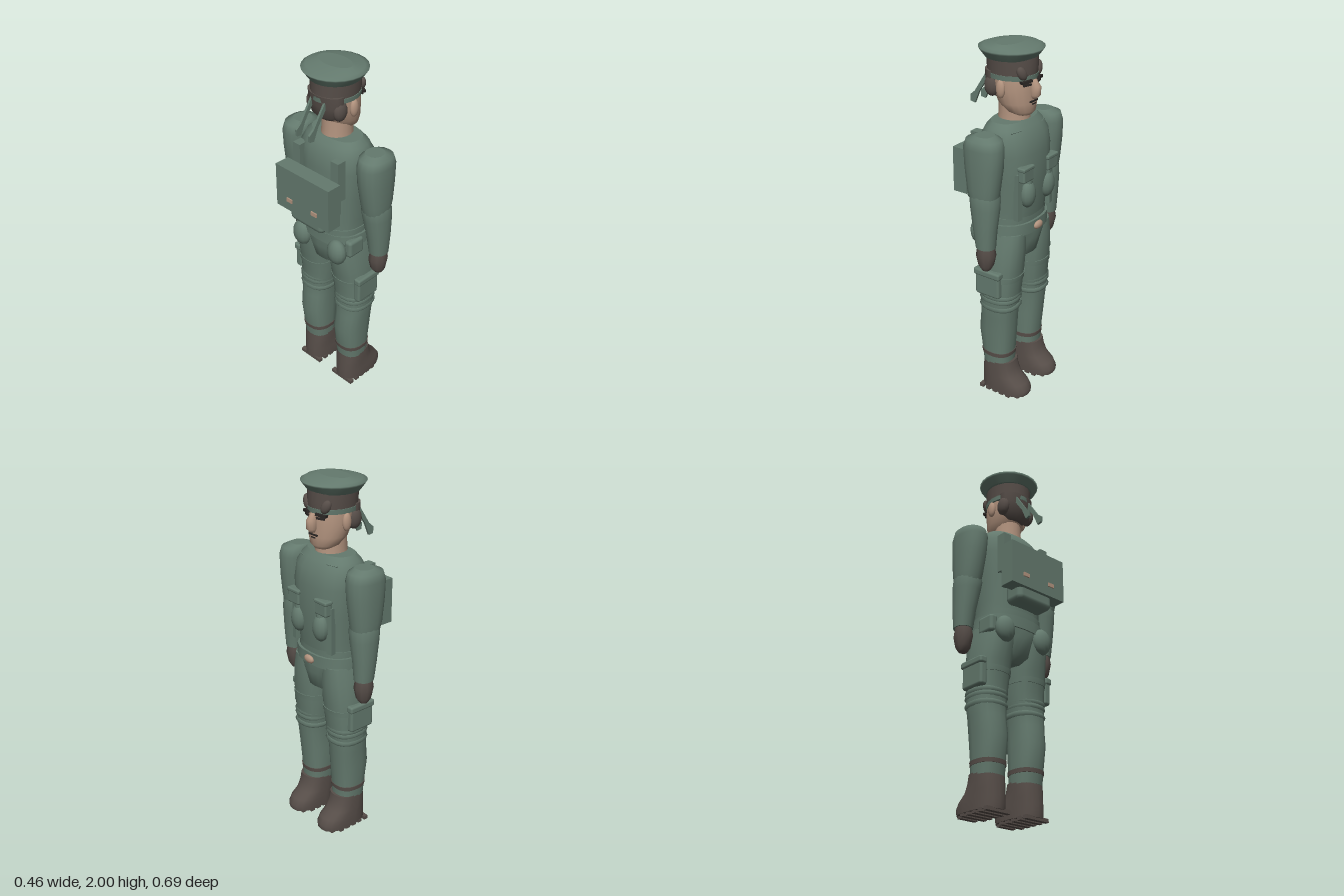
import * as THREE from 'three';
import { RoundedBoxGeometry } from 'three/addons/geometries/RoundedBoxGeometry.js';

const mat = (name, color) => new THREE.MeshStandardMaterial({ name, color });

// Closed body from rings [y, cx, cz, rx, rz]; power > 2 squares the section off.
function loft(rings, sides = 18, power = 2) {
  const pos = [], idx = [];
  const addRing = ([y, cx, cz, rx, rz]) => {
    const start = pos.length / 3;
    for (let i = 0; i < sides; i++) {
      const a = (i / sides) * Math.PI * 2, s = Math.sin(a), c = Math.cos(a);
      const f = (v) => Math.sign(v) * Math.abs(v) ** (2 / power);
      pos.push(cx + rx * f(s), y, cz + rz * f(c));
    }
    return start;
  };
  const starts = rings.map(addRing);
  for (let r = 0; r < rings.length - 1; r++) {
    for (let i = 0; i < sides; i++) {
      const j = (i + 1) % sides, a = starts[r], b = starts[r + 1];
      idx.push(a + i, a + j, b + j, a + i, b + j, b + i);
    }
  }
  // Flat caps with their own vertices keep the rims crisp
  [[rings[0], true], [rings[rings.length - 1], false]].forEach(([ring, down]) => {
    const s = addRing(ring), c = pos.length / 3;
    pos.push(ring[1], ring[0], ring[2]);
    for (let i = 0; i < sides; i++) {
      const j = (i + 1) % sides;
      if (down) idx.push(c, s + j, s + i);
      else idx.push(c, s + i, s + j);
    }
  });
  const g = new THREE.BufferGeometry();
  g.setAttribute('position', new THREE.Float32BufferAttribute(pos, 3));
  g.setIndex(idx);
  g.computeVertexNormals();
  return g;
}

const ball = (rx, ry, rz) => new THREE.SphereGeometry(1, 14, 10).scale(rx, ry, rz);
const box = (w, h, d, r = 0) => r ? new RoundedBoxGeometry(w, h, d, 2, r) : new THREE.BoxGeometry(w, h, d);

export function createModel() {
  const green = mat('uniform green', 0x647a6e);
  const brown = mat('leather brown', 0x574e49);
  const skin = mat('skin', 0xb3947f);
  const dark = mat('dark line', 0x2b2725);

  const model = new THREE.Group();
  model.name = 'soldier';
  // The figure is built facing local +z, then turned to face +x
  const body = new THREE.Group();
  body.name = 'figure';
  body.rotation.y = Math.PI / 2;
  model.add(body);

  const add = (name, geo, m, x = 0, y = 0, z = 0, rx = 0, ry = 0, rz = 0) => {
    const o = new THREE.Mesh(geo, m);
    o.name = name;
    o.position.set(x, y, z);
    o.rotation.set(rx, ry, rz);
    body.add(o);
    return o;
  };

  // Head and face
  add('neck', loft([[1.57, 0, 0.03, 0.085, 0.09], [1.64, 0, 0.03, 0.079, 0.083], [1.74, 0, 0.03, 0.08, 0.08]]), skin);
  add('head', loft([
    [1.635, 0, 0.085, 0.05, 0.045], [1.655, 0, 0.07, 0.08, 0.076], [1.70, 0, 0.05, 0.103, 0.1],
    [1.77, 0, 0.035, 0.115, 0.115], [1.84, 0, 0.03, 0.115, 0.118], [1.92, 0, 0.02, 0.105, 0.11]], 20), skin);
  add('nose', loft([[1.725, 0, 0.15, 0.012, 0.016], [1.745, 0, 0.158, 0.026, 0.03],
    [1.79, 0, 0.158, 0.025, 0.031], [1.825, 0, 0.148, 0.013, 0.014]], 12), skin);
  add('mouth', box(0.065, 0.008, 0.008), dark, 0, 1.712, 0.15);
  add('lowerLip', box(0.03, 0.006, 0.008), dark, 0, 1.697, 0.148);

  // Hair, headband and cap
  add('hair', loft([[1.835, 0, 0.018, 0.119, 0.134], [1.88, 0, 0.02, 0.122, 0.136], [1.94, 0, 0.018, 0.125, 0.135]], 20), brown);
  add('backHair', loft([[1.71, 0, -0.04, 0.05, 0.03], [1.74, 0, -0.045, 0.095, 0.055],
    [1.80, 0, -0.045, 0.112, 0.068], [1.86, 0, -0.045, 0.112, 0.074]], 16), brown);
  add('headband', loft([[1.825, 0, 0.019, 0.122, 0.136], [1.85, 0, 0.019, 0.124, 0.138]], 20), green);
  add('cap', loft([[1.925, 0, 0.012, 0.135, 0.135], [1.963, 0, 0.013, 0.165, 0.163], [1.974, 0, 0.013, 0.17, 0.17],
    [1.985, 0, 0.013, 0.153, 0.14], [2.0, 0, 0.014, 0.105, 0.06]], 24), green);

  const tie = new THREE.Shape([[-0.1, 1.845], [-0.185, 1.715], [-0.215, 1.69], [-0.213, 1.655], [-0.185, 1.65],
    [-0.155, 1.72], [-0.1, 1.80]].map(([z, y]) => new THREE.Vector2(-z, y)));
  const tieGeo = new THREE.ExtrudeGeometry(tie, { depth: 0.012, bevelEnabled: false });

  // Torso
  add('torso', loft([
    [1.05, 0, 0.025, 0.182, 0.142], [1.15, 0, 0.03, 0.182, 0.15], [1.3, 0, 0.035, 0.195, 0.16],
    [1.45, 0, 0.035, 0.207, 0.157], [1.53, 0, 0.032, 0.205, 0.143], [1.58, 0, 0.03, 0.18, 0.115],
    [1.61, 0, 0.03, 0.15, 0.09]], 24, 2.4), green);
  add('jacketHem', loft([[1.055, 0, 0.025, 0.187, 0.147], [1.1, 0, 0.025, 0.187, 0.148]], 24, 2.4), green);
  add('belt', loft([[1.0, 0, 0.03, 0.201, 0.155], [1.065, 0, 0.03, 0.198, 0.155]], 24, 2.4), green);
  add('buckle', ball(0.037, 0.023, 0.016), skin, 0, 1.03, 0.187);
  add('pelvis', loft([[0.825, 0, 0.03, 0.075, 0.075], [0.86, 0, 0.03, 0.1, 0.125], [0.95, 0, 0.03, 0.125, 0.147],
    [1.01, 0, 0.03, 0.18, 0.148]], 20, 2.5), green);

  // Backpack
  add('backpack', box(0.38, 0.25, 0.085), green, 0, 1.315, -0.186);
  add('backpackBase', box(0.24, 0.12, 0.12, 0.03), green, 0, 1.18, -0.15);
  add('backpackFrame', box(0.3, 0.16, 0.06), green, 0, 1.3, -0.125);

  // Sole outline shared by both boots
  const treads = [-0.05, -0.005, 0.04, 0.085, 0.13, 0.175];

  for (const s of [-1, 1]) {
    const side = s < 0 ? 'right' : 'left';
    const put = (name, geo, m, x, y, z, rx = 0, ry = 0, rz = 0) => add(side + name, geo, m, s * x, y, z, rx, s * ry, s * rz);
    const put2 = (name, rings, m, n, p) => add(side + name, loft(rings.map(([y, x, ...r]) => [y, s * x, ...r]), n, p), m);

    // Face side details
    put('Ear', ball(0.018, 0.048, 0.026), skin, 0.117, 1.78, 0.028);
    put('Eye', box(0.05, 0.01, 0.008), dark, 0.05, 1.803, 0.143, 0, 0.3);
    put('Brow', box(0.06, 0.014, 0.028), dark, 0.055, 1.822, 0.14, 0, 0.35, -0.12);
    put('HairLock', ball(0.03, 0.055, 0.042), brown, 0.092, 1.78, -0.045);
    put('FringeLock', ball(0.025, 0.038, 0.018), brown, 0.075, 1.865, 0.128, 0, 0.5, -0.5);
    put('HeadbandTie', tieGeo, green, 0.045, 0, 0, 0, 0).rotation.y = Math.PI / 2;
    body.children[body.children.length - 1].rotation.y = 0;
    // Turn the extruded outline so that its long axis runs backwards
    body.children[body.children.length - 1].rotation.y = Math.PI / 2;
    body.children[body.children.length - 1].position.x = s * 0.045 - 0.006;

    // Arm
    put2('UpperArm', [
      [1.23, 0.275, 0.04, 0.062, 0.075], [1.3, 0.275, 0.037, 0.07, 0.09], [1.42, 0.27, 0.035, 0.077, 0.106],
      [1.52, 0.268, 0.034, 0.08, 0.111], [1.565, 0.266, 0.034, 0.075, 0.095], [1.583, 0.258, 0.034, 0.048, 0.05]], green, 18, 2.3);
    put2('Forearm', [
      [0.975, 0.286, 0.054, 0.05, 0.053], [1.08, 0.285, 0.05, 0.058, 0.065], [1.2, 0.276, 0.045, 0.07, 0.08],
      [1.25, 0.272, 0.042, 0.074, 0.082], [1.28, 0.272, 0.042, 0.066, 0.076]], green, 16, 2.2);
    put2('Hand', [
      [0.842, 0.285, 0.055, 0.025, 0.022], [0.87, 0.285, 0.053, 0.041, 0.042], [0.93, 0.285, 0.053, 0.052, 0.055],
      [0.975, 0.285, 0.053, 0.046, 0.046], [1.0, 0.285, 0.053, 0.04, 0.04]], brown, 10);

    // Leg
    put2('Leg', [
      [0.19, 0.13, 0.025, 0.08, 0.085], [0.28, 0.13, 0.022, 0.084, 0.092], [0.4, 0.132, 0.02, 0.088, 0.105],
      [0.5, 0.135, 0.03, 0.09, 0.102], [0.58, 0.135, 0.036, 0.098, 0.104], [0.68, 0.128, 0.038, 0.103, 0.11],
      [0.8, 0.124, 0.036, 0.107, 0.125], [0.92, 0.117, 0.028, 0.1, 0.142], [1.01, 0.11, 0.027, 0.088, 0.14]], green, 18, 2.4);
    [0.565, 0.61, 0.635].forEach((y, i) => put2('KneeFold' + i, [
      [y - 0.014, 0.134, 0.037, 0.096, 0.104], [y, 0.134, 0.037, 0.104, 0.113], [y + 0.014, 0.134, 0.037, 0.099, 0.106]], green, 18, 2.4));
    put2('ThighStrap', [[0.735, 0.126, 0.037, 0.108, 0.121], [0.765, 0.125, 0.037, 0.109, 0.125]], green, 18, 2.4);
    put('ThighPocket', box(0.045, 0.14, 0.155, 0.014), green, 0.226, 0.718, 0.025);
    put('PocketFlap', box(0.045, 0.04, 0.168, 0.012), green, 0.233, 0.785, 0.025);
    put('HipPouch', box(0.05, 0.1, 0.11, 0.018), green, 0.185, 1.0, -0.03);
    put('Canteen', ball(0.06, 0.075, 0.045), green, 0.13, 0.97, -0.105);

    // Boot
    put2('BootCuff', [[0.245, 0.13, 0.023, 0.086, 0.092], [0.268, 0.13, 0.023, 0.087, 0.094]], brown, 18, 2.4);
    put2('Boot', [
      [0.014, 0.13, 0.075, 0.084, 0.146], [0.045, 0.13, 0.077, 0.085, 0.149], [0.08, 0.13, 0.067, 0.084, 0.137],
      [0.115, 0.13, 0.045, 0.082, 0.112], [0.16, 0.13, 0.035, 0.082, 0.098], [0.205, 0.13, 0.033, 0.08, 0.091]], brown, 18, 2.5);
    treads.forEach((z, i) => put('Tread' + i, box(i === 5 ? 0.11 : 0.155, 0.02, 0.026), brown, 0.13, 0.01, z));

    // Chest gear
    put('ChestPouch', box(0.09, 0.075, 0.045, 0.01), green, 0.11, 1.355, 0.18);
    put('PouchFlap', box(0.097, 0.022, 0.05, 0.008), green, 0.11, 1.39, 0.18);
    put('Grenade', ball(0.05, 0.075, 0.04), green, 0.088, 1.238, 0.178);
    put('GrenadeNeck', new THREE.CylinderGeometry(0.02, 0.024, 0.05, 10), green, 0.088, 1.315, 0.178);
    put('ChestStrap', box(0.034, 0.26, 0.03), green, 0.142, 1.23, 0.155, 0, 0.15);
    put('CollarTab', box(0.06, 0.012, 0.03), green, 0.115, 1.575, 0.115, 0.5, 0.3, -0.25);

    // Backpack side details
    put('PackStrap', box(0.05, 0.23, 0.055), green, 0.136, 1.425, -0.103);
    put('PackBuckle', box(0.04, 0.022, 0.009), skin, 0.09, 1.257, -0.231);
  }
  return model;
}
